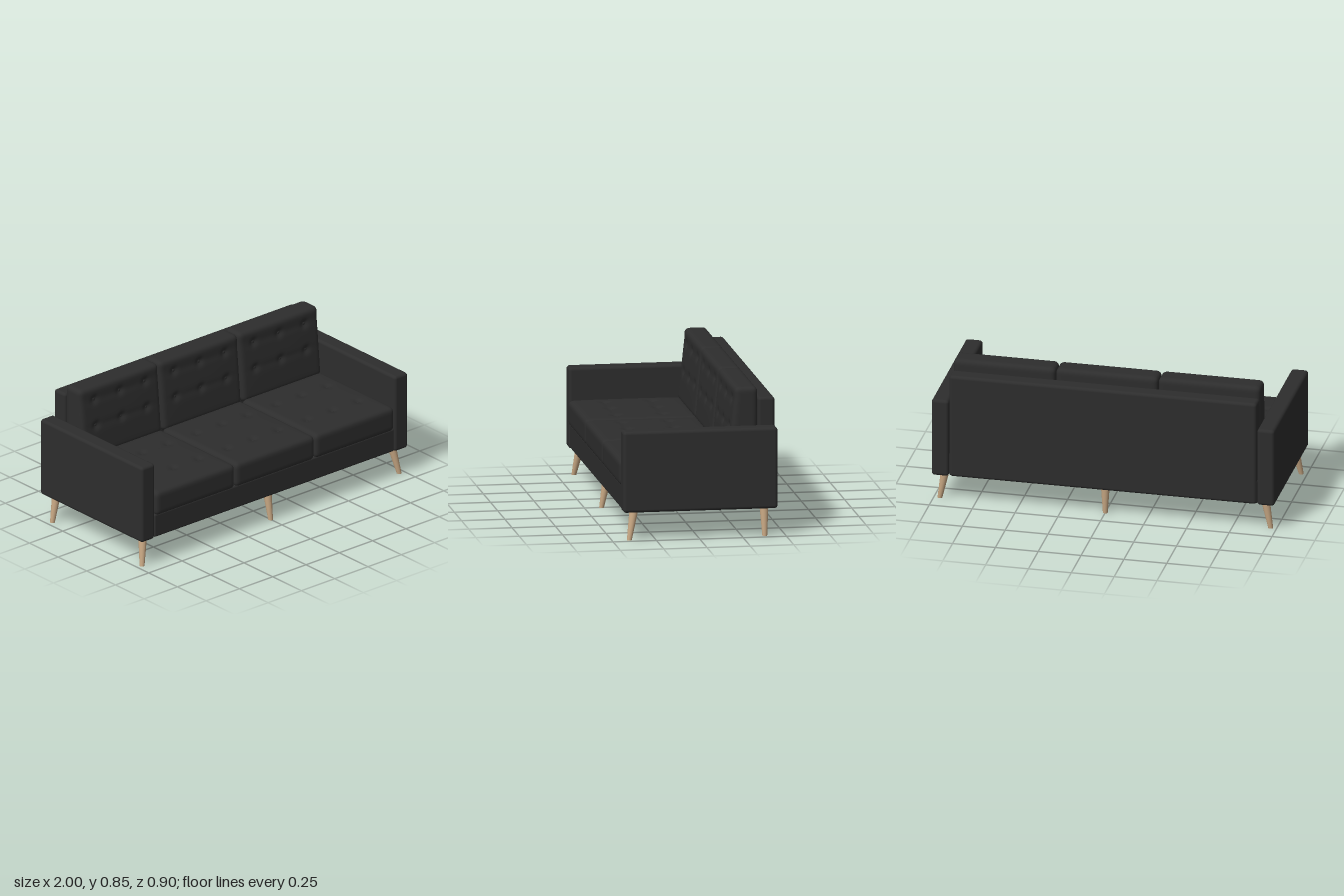
import * as THREE from 'three';
import { RoundedBoxGeometry } from 'three/addons/geometries/RoundedBoxGeometry.js';
import { mergeVertices } from 'three/addons/utils/BufferGeometryUtils.js';

const BUTTON_X = [-0.19, 0, 0.19];

// Soft rounded box whose +z face is crowned and dimpled at the buttons
function cushionGeometry(w, h, d, r, rows, lean = () => 0) {
  let geo = new THREE.BoxGeometry(w, h, d, 48, 40, 12);
  geo.deleteAttribute('normal');
  geo.deleteAttribute('uv');
  geo = mergeVertices(geo, 1e-5);
  const pos = geo.attributes.position;
  const inner = new THREE.Vector3(w / 2 - r, h / 2 - r, d / 2 - r);
  const outer = inner.clone().negate();
  const p = new THREE.Vector3(), q = new THREE.Vector3();
  for (let i = 0; i < pos.count; i++) {
    p.fromBufferAttribute(pos, i);
    q.copy(p).clamp(outer, inner);
    p.sub(q).setLength(r).add(q);
    const f = THREE.MathUtils.clamp(p.z / d + 0.5, 0, 1);
    const u = Math.max(0, 1 - (2 * p.x / w) ** 2), v = Math.max(0, 1 - (2 * p.y / h) ** 2);
    let push = 0.007 * Math.sqrt(u * v);
    for (const by of rows) {
      // shallow seam along each row, deeper pit at each button
      push -= 0.003 * u * Math.exp(-(((p.y - by) / 0.02) ** 2));
      for (const bx of BUTTON_X) {
        push -= 0.012 * Math.exp(-((p.x - bx) ** 2 + (p.y - by) ** 2) / 0.0005);
      }
    }
    p.z += f ** 3 * push + f * lean(p.y);
    pos.setXYZ(i, p.x, p.y, p.z);
  }
  geo.computeVertexNormals();
  return geo;
}

// Tapered leg, sheared so both ends stay level
function legGeometry(dx, dz) {
  const height = 0.175;
  const geo = new THREE.CylinderGeometry(0.026, 0.014, height, 24);
  geo.translate(0, height / 2, 0);
  const pos = geo.attributes.position;
  for (let i = 0; i < pos.count; i++) {
    const t = pos.getY(i) / height;
    pos.setX(i, pos.getX(i) + dx * t);
    pos.setZ(i, pos.getZ(i) + dz * t);
  }
  geo.computeVertexNormals();
  return geo;
}

export function createModel() {
  const sofa = new THREE.Group();
  sofa.name = 'sofa';
  const fabric = new THREE.MeshStandardMaterial({ name: 'charcoal fabric', color: 0x2d2d2d });
  const wood = new THREE.MeshStandardMaterial({ name: 'light wood', color: 0xc6a682 });

  const add = (name, geo, mat, x, y, z, parent = sofa) => {
    const mesh = new THREE.Mesh(geo, mat);
    mesh.name = name;
    mesh.position.set(x, y, z);
    parent.add(mesh);
    return mesh;
  };
  // Rounded box given by its lower and upper corners
  const block = (name, a, b, r) => add(name,
    new RoundedBoxGeometry(b[0] - a[0], b[1] - a[1], b[2] - a[2], 4, r), fabric,
    (a[0] + b[0]) / 2, (a[1] + b[1]) / 2, (a[2] + b[2]) / 2);

  // Frame
  block('base', [-0.9, 0.167, -0.44], [0.9, 0.31, 0.435], 0.012);
  block('backrest', [-0.896, 0.165, -0.45], [0.896, 0.79, -0.353], 0.018);
  block('rightArm', [-1, 0.163, -0.45], [-0.9, 0.633, 0.44], 0.018);
  block('leftArm', [0.9, 0.163, -0.45], [1, 0.633, 0.44], 0.018);

  // Three seat and back cushions with covered buttons
  const seatRows = [0.14, -0.13], backRows = [0.13, -0.025];
  const backLean = y => 0.1 * Math.max(0, 0.15 - y);
  const seatGeo = cushionGeometry(0.595, 0.655, 0.148, 0.028, seatRows);
  const backGeo = cushionGeometry(0.595, 0.42, 0.13, 0.028, backRows, backLean);
  const buttonGeo = new THREE.SphereGeometry(0.011, 12, 8).scale(1, 1, 0.4);
  const addButtons = (cushion, rows, depth, lean) => {
    for (const y of rows) {
      for (const x of BUTTON_X) add('button', buttonGeo, fabric, x, y, depth / 2 - 0.009 + lean(y), cushion);
    }
  };
  for (const x of [-0.598, 0, 0.598]) {
    const seat = add('seatCushion', seatGeo, fabric, x, 0.374, 0.119);
    seat.rotation.x = -Math.PI / 2;
    addButtons(seat, seatRows, 0.148, () => 0);
    const back = add('backCushion', backGeo, fabric, x, 0.64, -0.287);
    addButtons(back, backRows, 0.13, backLean);
  }

  // Six legs, the outer ones splayed sideways and the front ones forward
  for (const side of [-1, 0, 1]) {
    add('frontLeg', legGeometry(-side * 0.032, -0.032), wood, side * 0.965, 0, 0.401);
    add('rearLeg', legGeometry(-side * 0.032, 0), wood, side * 0.965, 0, -0.38);
  }
  return sofa;
}
